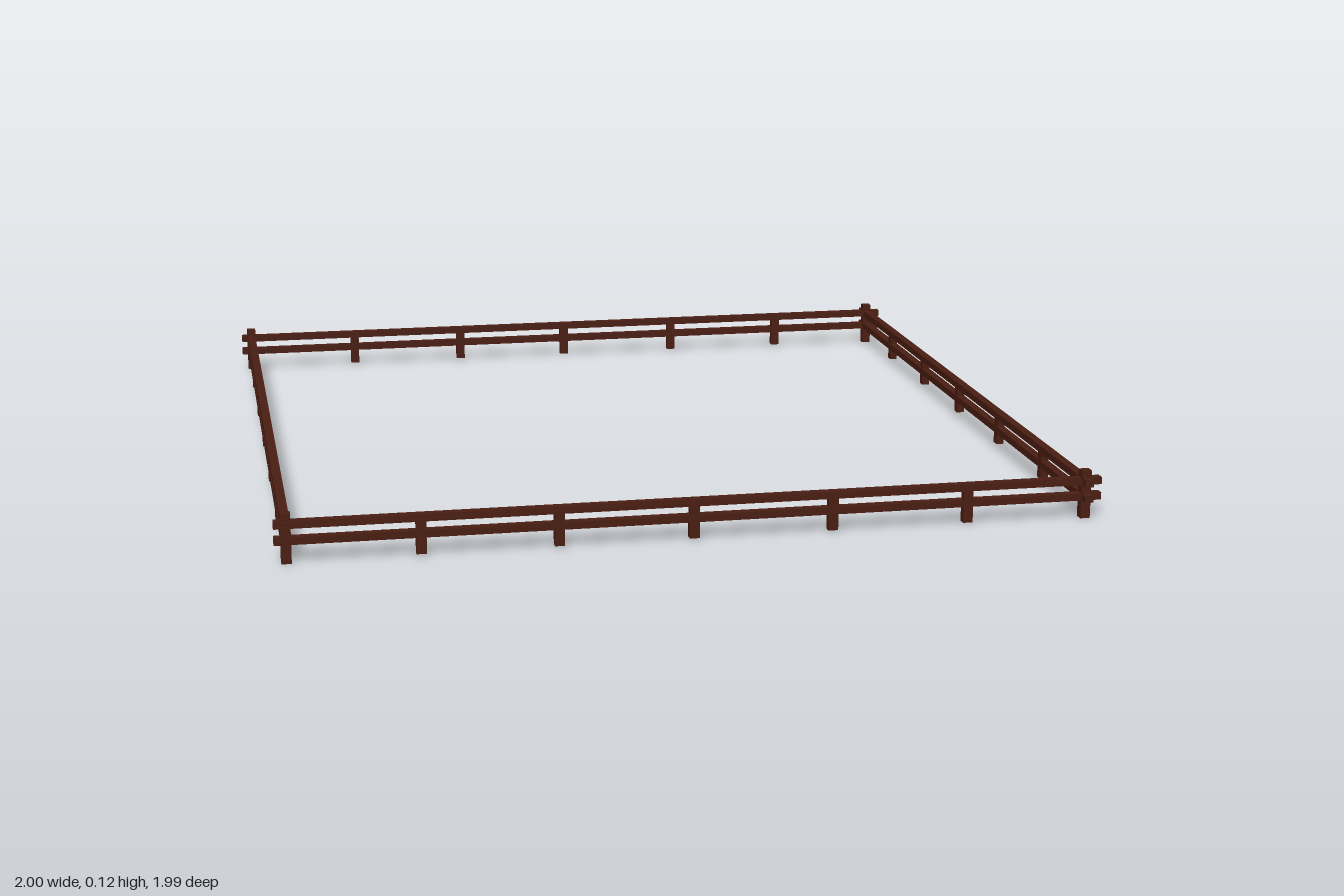
import * as THREE from 'three';

export function createModel() {
  const model = new THREE.Group();
  model.name = 'paddockFence';
  const wood = new THREE.MeshStandardMaterial({ color: 0x4a1e12 });
  wood.name = 'dark brown wood';

  // Box given by its centre and size
  const beam = (name, x, y, z, w, h, d) => {
    const mesh = new THREE.Mesh(new THREE.BoxGeometry(w, h, d), wood);
    mesh.name = name;
    mesh.position.set(x, y, z);
    model.add(mesh);
  };

  const left = 0.961, right = -0.972, front = 0.957, back = -0.962;
  const railHeight = 0.018, railDepth = 0.022, postWidth = 0.024;

  // Two rails on each side, overlapping past the corners
  for (const [level, y] of [['lower', 0.054], ['upper', 0.093]]) {
    beam(level + 'FrontRail', 0, y, front, 2, railHeight, railDepth);
    beam(level + 'BackRail', 0, y, back, 2, railHeight, railDepth);
    beam(level + 'LeftRail', left, y, -0.005, railDepth, railHeight, 1.99);
    beam(level + 'RightRail', right, y, -0.005, railDepth, railHeight, 1.97);
  }

  // Tall corner posts
  for (const x of [left, right])
    for (const z of [front, back])
      beam('cornerPost', x, 0.06, z, postWidth, 0.12, postWidth);

  // Short posts along the front and back
  for (const x of [-0.66, -0.335, -0.012, 0.327, 0.663])
    for (const z of [front, back])
      beam('crossPost', x, 0.05, z, postWidth, 0.09, 0.02);

  // Short posts along the two sides
  for (const z of [0.667, 0.328, -0.01, -0.335, -0.66])
    for (const x of [left, right])
      beam('sidePost', x, 0.056, z, 0.02, 0.08, postWidth);

  return model;
}
